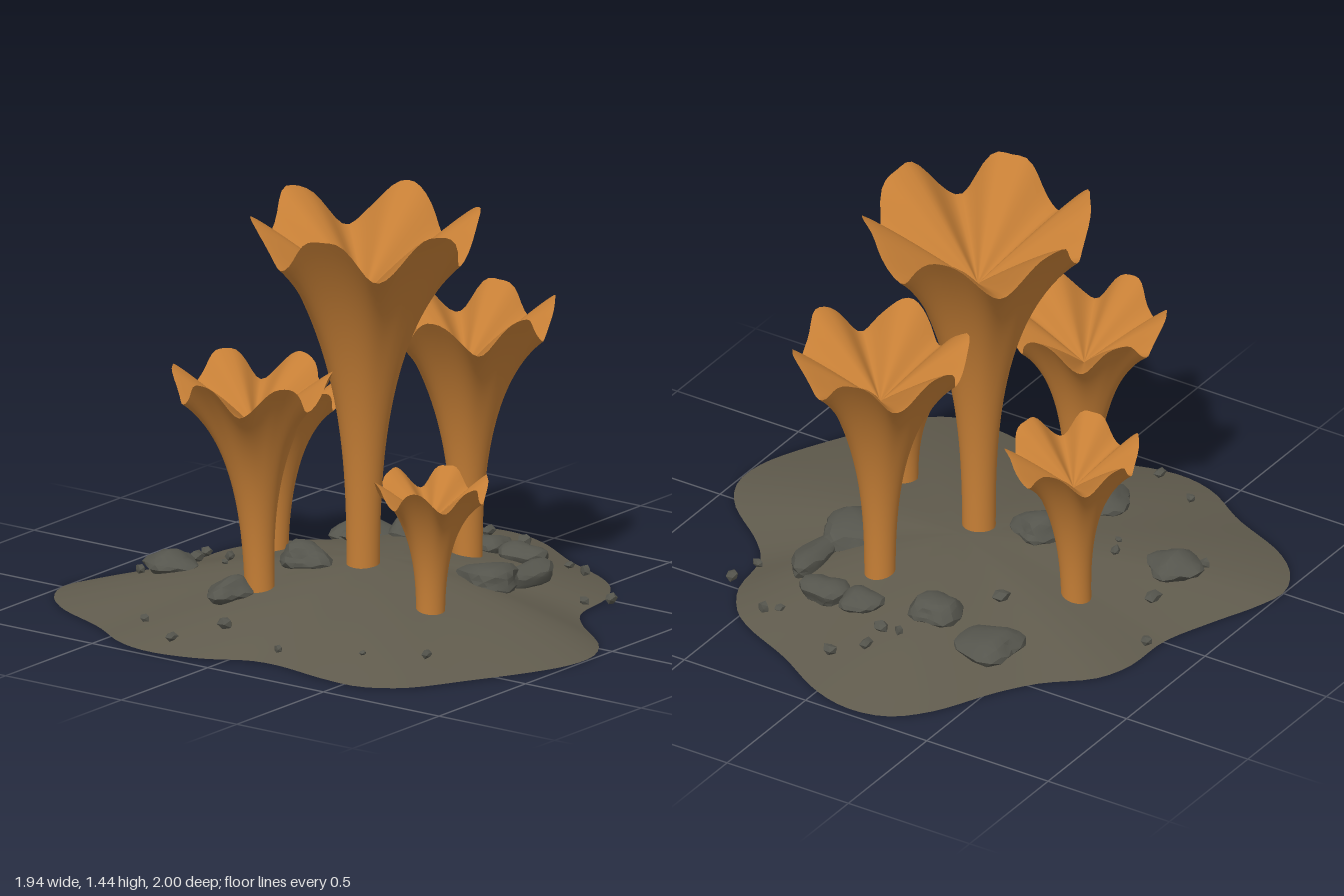
import * as THREE from 'three';
import { mergeVertices, toCreasedNormals } from 'three/addons/utils/BufferGeometryUtils.js';

const orange = new THREE.MeshStandardMaterial({ color: 0xc67f36, side: THREE.DoubleSide });
orange.name = 'orange mushroom flesh';
const soil = new THREE.MeshStandardMaterial({ color: 0x605b4d, side: THREE.DoubleSide });
soil.name = 'dark soil';
const stone = new THREE.MeshStandardMaterial({ color: 0x55554d });
stone.name = 'grey stone';

// Plan outline of the soil mound, as x, z pairs
const OUTLINE = [
  [-.5, -1], [-.37, -.97], [-.2, -.9], [0, -.83], [.2, -.82], [.33, -.77], [.47, -.62], [.6, -.53],
  [.83, -.41], [.94, -.3], [.97, -.16], [.93, 0], [.8, .22], [.7, .43], [.63, .52], [.5, .6],
  [.3, .64], [.2, .72], [.03, .92], [-.1, .99], [-.23, .99], [-.35, .95], [-.6, .82], [-.8, .7],
  [-.88, .57], [-.88, .42], [-.84, .18], [-.85, .07], [-.93, -.08], [-.97, -.27], [-.94, -.42],
  [-.83, -.6], [-.72, -.84], [-.62, -.95],
];
const N = 120;
const rim = new THREE.CatmullRomCurve3(OUTLINE.map(([x, z]) => new THREE.Vector3(x, 0, z)), true)
  .getSpacedPoints(N).slice(0, N);
const rise = (s) => 0.165 * (1 - Math.min(s, 1) ** 1.7);

// Height of the mound under a point
function groundAt(x, z) {
  const a = Math.atan2(z, x);
  let best = rim[0], gap = Infinity;
  for (const p of rim) {
    const d = 1 - Math.cos(Math.atan2(p.z, p.x) - a);
    if (d < gap) { gap = d; best = p; }
  }
  return rise(Math.hypot(x, z) / Math.hypot(best.x, best.z));
}

// Open domed sheet made of shrinking copies of the outline
function makeMound() {
  const rings = 14, pos = [], index = [];
  for (let i = 0; i <= rings; i++) {
    const s = i / rings;
    for (const p of rim) pos.push(p.x * s, rise(s), p.z * s);
  }
  for (let i = 0; i < rings; i++) {
    for (let j = 0; j < N; j++) {
      const k = (j + 1) % N, a = i * N + j, b = i * N + k, c = a + N, d = b + N;
      index.push(a, d, c);
      if (i > 0) index.push(a, b, d);
    }
  }
  let geo = new THREE.BufferGeometry();
  geo.setAttribute('position', new THREE.Float32BufferAttribute(pos, 3));
  geo.setIndex(index);
  geo = mergeVertices(geo);
  geo.computeVertexNormals();
  const mesh = new THREE.Mesh(geo, soil);
  mesh.name = 'soilMound';
  return mesh;
}

// Revolve a profile, then move its points by a rule and smooth it
function revolve(points, rule) {
  let geo = new THREE.LatheGeometry(points, 96);
  geo.deleteAttribute('uv');
  geo.deleteAttribute('normal');
  const p = geo.attributes.position;
  for (let i = 0; i < p.count; i++) {
    const v = new THREE.Vector3().fromBufferAttribute(p, i);
    rule(v);
    p.setXYZ(i, v.x, v.y, v.z);
  }
  geo = mergeVertices(geo, 1e-5);
  geo.computeVertexNormals();
  return geo;
}

// Trumpet mushroom: flared stem outside, pleated funnel inside, six lobes
function makeMushroom({ name, base, top, r, R, H, phase }) {
  const group = new THREE.Group();
  group.name = name;
  const foot = groundAt(base[0], base[1]) - 0.07, tall = H - foot;
  const notch = (a) => ((1 - Math.cos(6 * (a - phase))) / 2) ** 1.4;
  const wobble = (a) => 0.012 * Math.sin(11 * a + R * 40) + 0.01 * Math.sin(17 * a + H * 9);

  const shape = (v, weight) => {
    const a = Math.atan2(v.z, v.x), t = (v.y - foot) / tall;
    const w = notch(a) * weight;
    const scale = 1 - 0.09 * w + wobble(a) * weight;
    const lean = THREE.MathUtils.clamp(t, 0, 1);
    v.x = v.x * scale + THREE.MathUtils.lerp(base[0], top[0], lean);
    v.z = v.z * scale + THREE.MathUtils.lerp(base[1], top[1], lean);
    v.y -= (0.38 * w - wobble(a) * weight) * R;
  };

  const outer = [];
  for (let i = 0; i <= 30; i++) {
    const t = i / 30;
    outer.push(new THREE.Vector2(r + (R - r) * t ** 2.9, foot + tall * t));
  }
  const stem = new THREE.Mesh(
    revolve(outer, (v) => shape(v, Math.max(0, (v.y - foot) / tall) ** 4.5)), orange);
  stem.name = 'flaredStem';

  const inner = [];
  for (let i = 0; i <= 20; i++) {
    const s = 1 - i / 20;
    inner.push(new THREE.Vector2(R * s, H - 0.75 * R * (1 - s) ** 1.1));
  }
  const funnel = new THREE.Mesh(
    revolve(inner, (v) => shape(v, Math.hypot(v.x, v.z) / R)), orange);
  funnel.name = 'pleatedFunnel';

  const cap = new THREE.Mesh(new THREE.CircleGeometry(r, 32).rotateX(Math.PI / 2), orange);
  cap.position.set(base[0], foot, base[1]);
  cap.name = 'stemFoot';
  group.add(stem, funnel, cap);
  return group;
}

// Lumpy flattened stone
function makeRock(name, x, y, z, rx, ry, rz, seed, detail) {
  let geo = new THREE.IcosahedronGeometry(1, detail);
  const p = geo.attributes.position;
  for (let i = 0; i < p.count; i++) {
    const v = new THREE.Vector3().fromBufferAttribute(p, i);
    const k = 1 + 0.13 * Math.sin(v.x * 3.1 + seed * 2.3) + 0.12 * Math.sin(v.z * 4.3 + seed * 1.7)
      + 0.08 * Math.sin(v.y * 5 + seed);
    p.setXYZ(i, v.x * k * rx, v.y * k * ry, v.z * k * rz);
  }
  geo.deleteAttribute('uv');
  geo = toCreasedNormals(geo, 0.5);
  const mesh = new THREE.Mesh(geo, stone);
  mesh.name = name;
  mesh.position.set(x, y, z);
  return mesh;
}

export function createModel() {
  const model = new THREE.Group();
  model.name = 'mushroomCluster';
  model.add(makeMound());

  const deg = Math.PI / 180;
  [
    { name: 'tallMushroom', base: [-.09, -.01], top: [-.095, 0], r: .058, R: .4, H: 1.43, phase: 45 * deg },
    { name: 'leftBackMushroom', base: [-.43, -.2], top: [-.455, -.215], r: .052, R: .28, H: .91, phase: 2 * deg },
    { name: 'rightFrontMushroom', base: [.31, .14], top: [.3, .145], r: .054, R: .31, H: 1.04, phase: 45 * deg },
    { name: 'smallFrontMushroom', base: [-.275, .42], top: [-.275, .425], r: .05, R: .2, H: .58, phase: 40 * deg },
    { name: 'backMushroom', base: [.03, -.49], top: [.05, -.485], r: .052, R: .235, H: .71, phase: 45 * deg },
  ].forEach((m) => model.add(makeMushroom(m)));

  // Large stones: x, z, half width, half height, half depth
  [
    [-.31, -.67, .1, .045, .1], [.45, -.4, .1, .05, .12], [.42, -.17, .1, .045, .08],
    [.14, .37, .12, .05, .12], [.3, .41, .12, .045, .07], [.48, .25, .08, .045, .08],
    [.5, .1, .07, .04, .07], [-.53, -.26, .09, .05, .08], [-.17, -.2, .09, .05, .09],
  ].forEach(([x, z, a, b, c], i) =>
    model.add(makeRock('rock', x, groundAt(x, z) + .015, z, a, b, c, i + 1, 2)));

  // Scattered pebbles: x, z, radius
  [
    [.06, -.8, .022], [-.13, -.7, .03], [-.4, -.74, .02], [-.79, -.43, .018], [-.89, -.24, .022],
    [-.74, -.12, .027], [-.78, .14, .016], [-.72, .46, .012], [-.59, .64, .02], [.36, .61, .018],
    [.46, .65, .024], [.61, .36, .018], [.62, .42, .022], [.75, .06, .025], [.69, -.05, .025],
    [.6, -.05, .026], [.59, -.12, .018], [.23, -.31, .03], [-.23, -.48, .02], [-.3, -.45, .012],
  ].forEach(([x, z, r], i) =>
    model.add(makeRock('pebble', x, groundAt(x, z) + .02, z, r, r * .85, r, i * 1.9, 0)));

  return model;
}
